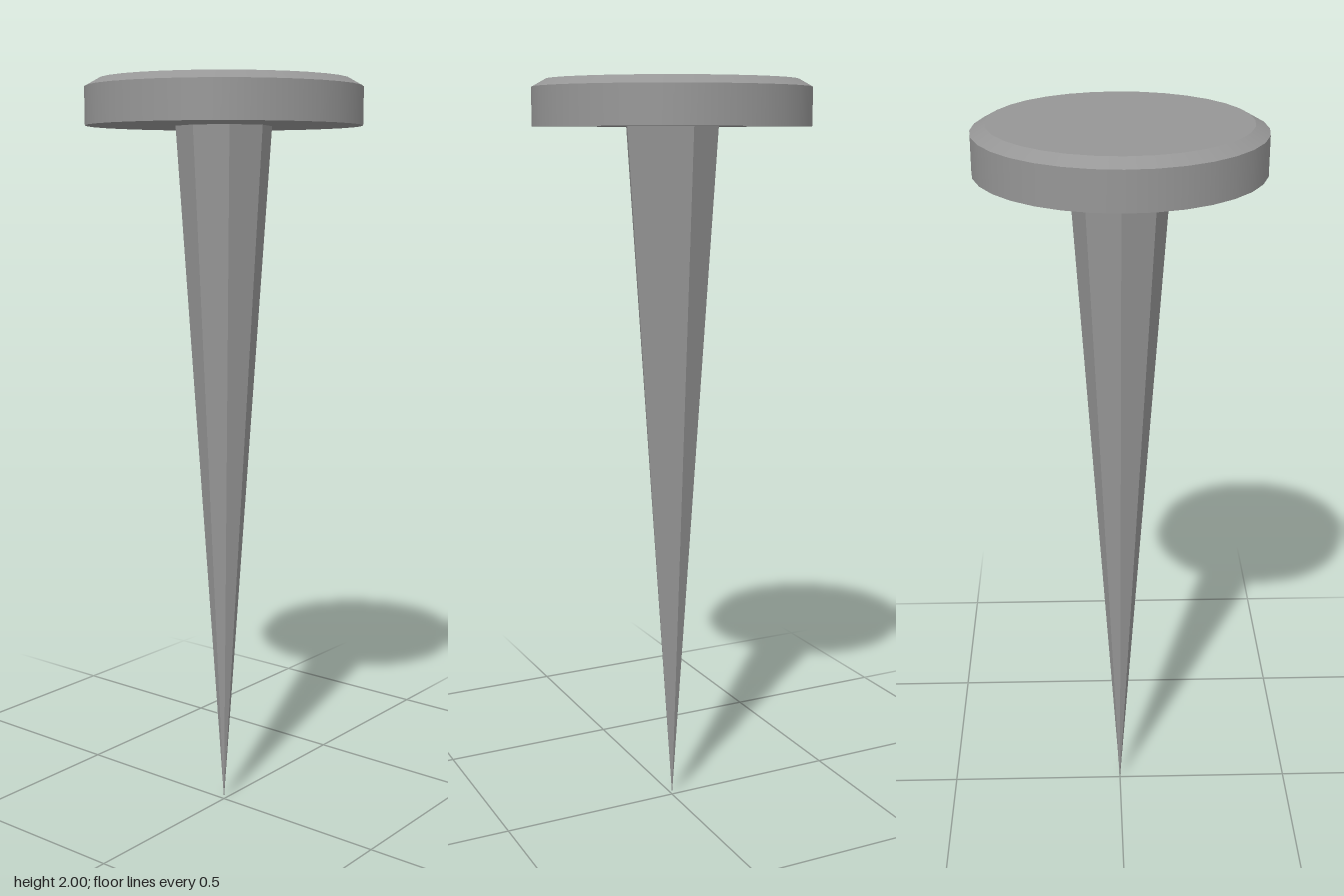
import * as THREE from 'three';

export function createModel() {
  const group = new THREE.Group();
  const smooth = new THREE.MeshStandardMaterial({ color: 0x969696 });
  const faceted = new THREE.MeshStandardMaterial({ color: 0x969696, flatShading: true });

  const headBottom = 1.882, rimTop = 1.98, top = 2;
  const headRadius = 0.362, faceRadius = 0.326, sides = 32;

  function add(name, geometry, material, y) {
    const mesh = new THREE.Mesh(geometry, material);
    mesh.name = name;
    mesh.position.y = y;
    group.add(mesh);
  }

  // Tapered eight-sided shaft, coming to a point at the ground
  const shaft = new THREE.ConeGeometry(0.127, headBottom, 8, 1, true);
  shaft.rotateX(Math.PI);
  add('shaft', shaft, faceted, headBottom / 2);

  // Head: straight rim, bevelled edge, flat top and underside
  add('headRim', new THREE.CylinderGeometry(headRadius, headRadius, rimTop - headBottom, sides, 1, true),
    smooth, (rimTop + headBottom) / 2);
  add('headBevel', new THREE.CylinderGeometry(faceRadius, headRadius, top - rimTop, sides, 1, true),
    smooth, (top + rimTop) / 2);
  add('headTop', new THREE.CircleGeometry(faceRadius, sides).rotateX(-Math.PI / 2), smooth, top);
  add('headUnderside', new THREE.CircleGeometry(headRadius, sides).rotateX(Math.PI / 2), smooth, headBottom);

  return group;
}
